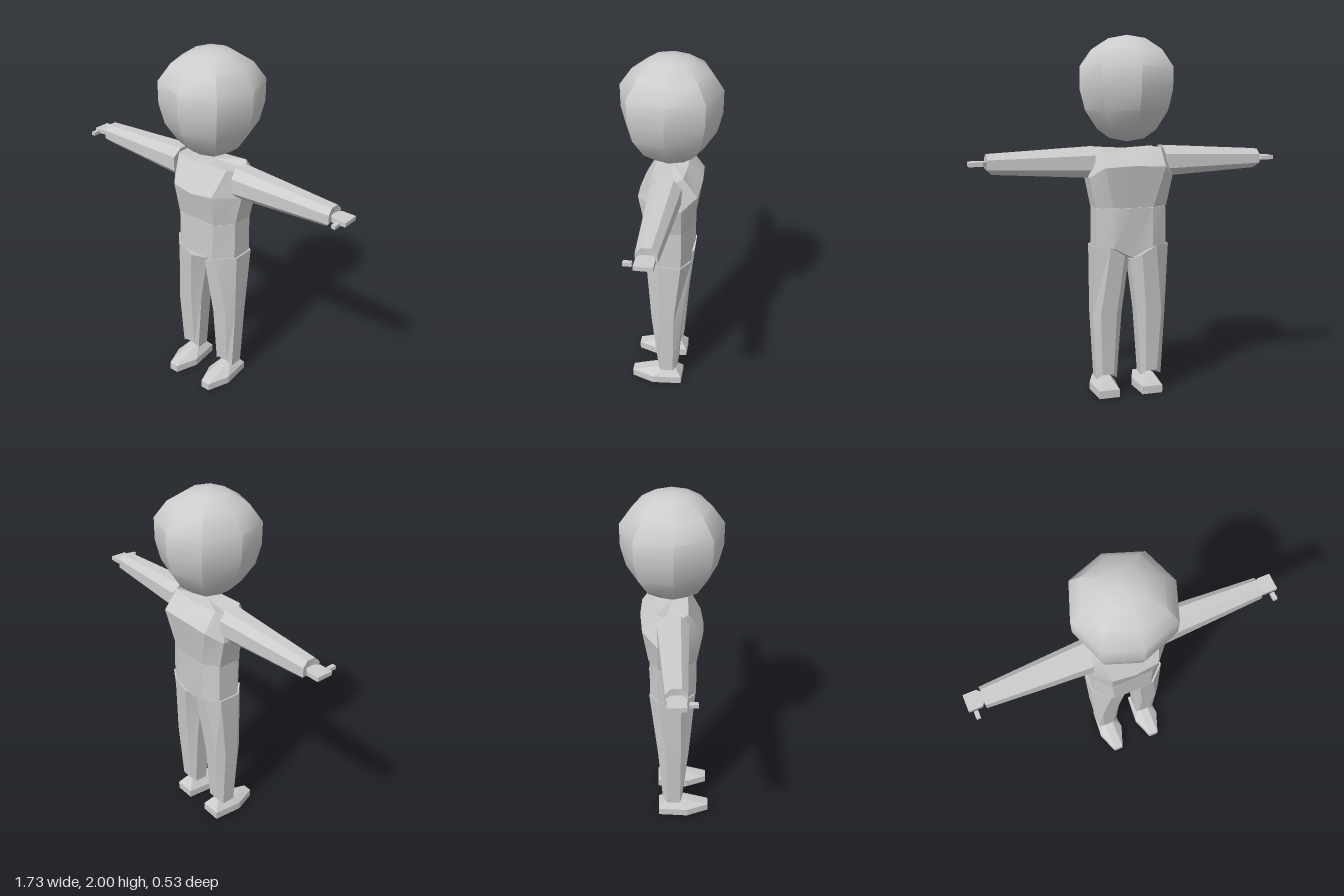
import * as THREE from 'three';
import { toCreasedNormals } from 'three/addons/utils/BufferGeometryUtils.js';

const grey = new THREE.MeshStandardMaterial({ color: 0xcccccc });
grey.name = 'plain grey';

// Skin rings of equal point count, closing both ends with a fan.
function loft(name, rings, { crease = 0.3, start, end } = {}) {
  const pos = [];
  const n = rings[0].length;
  const mid = (r) => [0, 1, 2].map((k) => r.reduce((s, p) => s + p[k], 0) / n);
  const tri = (a, b, c) => pos.push(...a, ...b, ...c);
  const first = rings[0], last = rings[rings.length - 1];
  const c0 = start || mid(first), c1 = end || mid(last);
  for (let i = 0; i < n; i++) {
    const j = (i + 1) % n;
    for (let k = 0; k < rings.length - 1; k++) {
      const a = rings[k], b = rings[k + 1];
      tri(a[i], a[j], b[j]);
      tri(a[i], b[j], b[i]);
    }
    tri(c0, first[j], first[i]);
    tri(c1, last[i], last[j]);
  }
  const geo = new THREE.BufferGeometry();
  geo.setAttribute('position', new THREE.Float32BufferAttribute(pos, 3));
  const mesh = new THREE.Mesh(toCreasedNormals(geo, crease), grey);
  mesh.name = name;
  return mesh;
}

// Mirror rings across x, keeping the winding outward.
const mirror = (rings) => rings.map((r) => r.map(([x, y, z]) => [-x, y, z]).reverse());

// Complete a half ring running from front centre to back centre.
const whole = (half) => [
  ...half,
  ...half.slice(1, -1).reverse().map(([x, y, z]) => [-x, y, z]),
];

const level = (y, pts) => pts.map(([x, z]) => [x, y, z]);

// Octagonal arm section facing +x; the side corners can sit further out.
function armRing(xTop, xSide, xBottom, r, f) {
  const y = 1.323;
  return [
    [xTop, y + r, -f], [xTop, y + r, f], [xSide, y + f, r], [xSide, y - f, r],
    [xBottom, y - r, f], [xBottom, y - r, -f], [xSide, y - f, -r], [xSide, y + f, -r],
  ];
}

// Flat plate section facing +x.
const plate = (x, y0, y1, z0, z1) => [[x, y1, z0], [x, y1, z1], [x, y0, z1], [x, y0, z0]];

export function createModel() {
  const model = new THREE.Group();
  model.name = 'figure';

  // Eight-sided rounded head
  const headProfile = [[1.45, 0.1], [1.5, 0.17], [1.6, 0.236], [1.71, 0.264], [1.83, 0.265], [1.92, 0.2], [1.98, 0.105]];
  const headRings = headProfile.map(([y, r]) => Array.from({ length: 8 }, (_, i) => {
    const a = (i * Math.PI) / 4;
    const s = i % 2 ? r * 1.04 : r;
    return [Math.sin(a) * s, y, Math.cos(a) * s];
  }));
  model.add(loft('head', headRings, { crease: 0.62, start: [0, 1.43, 0], end: [0, 2, 0] }));

  // Chest
  model.add(loft('chest', [
    whole([[0, 1.08, 0.13], [0.12, 1.08, 0.13], [0.2, 1.08, 0.045], [0.2, 1.08, -0.08], [0.11, 1.08, -0.13], [0, 1.08, -0.13]]),
    whole([[0, 1.245, 0.17], [0.13, 1.26, 0.16], [0.235, 1.245, 0.04], [0.235, 1.245, -0.085], [0.17, 1.3, -0.16], [0, 1.31, -0.17]]),
    whole([[0, 1.39, 0.085], [0.165, 1.4, 0.08], [0.2, 1.385, 0.035], [0.2, 1.385, -0.04], [0.165, 1.405, -0.085], [0, 1.39, -0.09]]),
  ], { crease: 0.35 }));

  // Waist, coming to a low point between the legs
  model.add(loft('waist', [
    whole([[0, 0.86, 0.13], [0.11, 0.86, 0.13], [0.2, 0.86, 0.045], [0.2, 0.86, -0.08], [0.11, 0.86, -0.125], [0, 0.8, -0.105]]),
    whole([[0, 1.078, 0.13], [0.117, 1.078, 0.13], [0.198, 1.078, 0.045], [0.198, 1.078, -0.08], [0.11, 1.078, -0.125], [0, 1.078, -0.125]]),
  ], { crease: 0.5, start: [0, 0.78, 0] }));

  // Limbs, defined for the left side
  const legRings = [
    [[0.095, 0.13, 0.057], [0.16, 0.13, 0.057], [0.19, 0.1, 0.042], [0.19, 0.1, -0.035],
      [0.16, 0.13, -0.06], [0.095, 0.13, -0.06], [0.072, 0.1, -0.035], [0.072, 0.1, 0.042]],
    level(0.48, [[0.085, 0.09], [0.175, 0.09], [0.21, 0.045], [0.21, -0.04],
      [0.175, -0.085], [0.085, -0.085], [0.045, -0.04], [0.045, 0.045]]),
    [[0.05, 0.82, 0.122], [0.13, 0.867, 0.125], [0.213, 0.867, 0.045], [0.213, 0.867, -0.08],
      [0.13, 0.867, -0.13], [0.05, 0.82, -0.125], [0.004, 0.78, -0.04], [0.004, 0.78, 0.04]],
  ];
  const sole = [[0.098, 0.213], [0.153, 0.213], [0.2, 0.085], [0.185, -0.083], [0.068, -0.083], [0.052, 0.085]];
  const footRings = [
    level(0, sole),
    level(0.045, sole),
    level(0.092, [[0.1, 0.045], [0.152, 0.045], [0.16, 0.02], [0.153, -0.045], [0.1, -0.045], [0.092, 0.02]]),
  ];
  const armRings = [armRing(0.19, 0.2, 0.22, 0.083, 0.04), armRing(0.77, 0.774, 0.745, 0.053, 0.025)];
  const handRings = [
    plate(0.765, 1.315, 1.338, -0.022, 0.022),
    plate(0.79, 1.315, 1.338, -0.047, 0.046),
    plate(0.863, 1.315, 1.338, -0.047, 0.046),
  ];
  const thumbRings = [plate(0.817, 1.317, 1.336, 0.056, 0.098), plate(0.84, 1.317, 1.336, 0.056, 0.098)];

  const limbs = { Leg: legRings, Foot: footRings, Arm: armRings, Hand: handRings, Thumb: thumbRings };
  for (const [part, rings] of Object.entries(limbs)) {
    model.add(loft('left' + part, rings), loft('right' + part, mirror(rings)));
  }
  return model;
}
